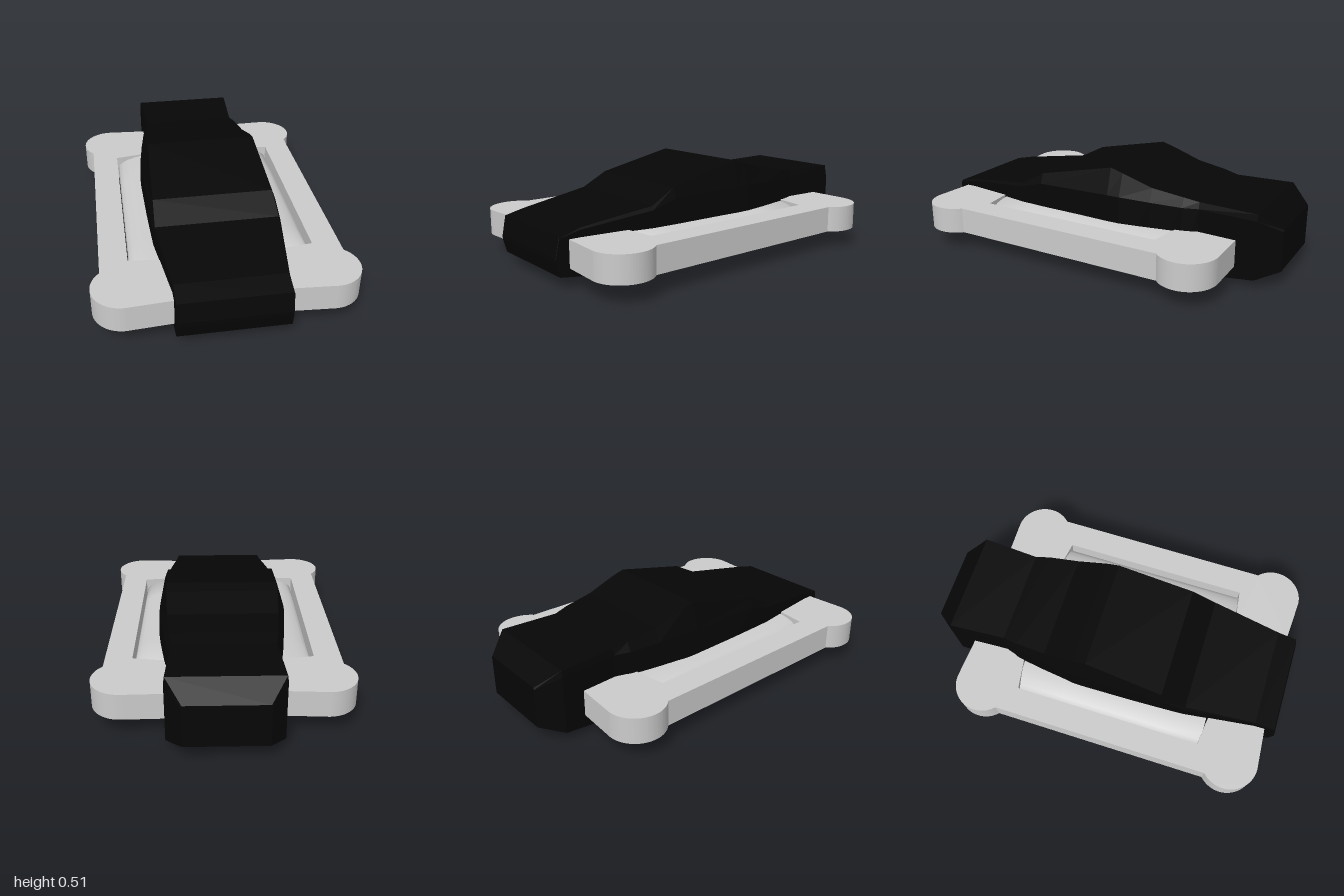
import * as THREE from 'three';

// Closed loft through equal-length rings of [x, y, z] points
function loft(rings) {
  const n = rings[0].length, pos = rings.flat(2), idx = [];
  for (let i = 0; i < rings.length - 1; i++) {
    for (let j = 0; j < n; j++) {
      const a = i * n + j, b = i * n + (j + 1) % n;
      idx.push(a, b, a + n, b, b + n, a + n);
    }
  }
  const last = (rings.length - 1) * n;
  for (let j = 1; j < n - 1; j++) {
    idx.push(0, j + 1, j, last, last + j, last + j + 1);
  }
  const g = new THREE.BufferGeometry();
  g.setAttribute('position', new THREE.Float32BufferAttribute(pos, 3));
  g.setIndex(idx);
  g.computeVertexNormals();
  return g;
}

// Faceted hull: z, bottom y, shoulder y, top y, then half widths at each height
function hullGeometry() {
  const stations = [
    [-1.0, 0.09, 0.30, 0.31, 0.205, 0.205, 0.20],
    [-0.89, 0.05, 0.36, 0.395, 0.285, 0.285, 0.28],
    [-0.58, 0.005, 0.36, 0.395, 0.27, 0.27, 0.26],
    [-0.5, 0.004, 0.36, 0.41, 0.305, 0.295, 0.275],
    [-0.33, 0.003, 0.365, 0.435, 0.33, 0.32, 0.29],
    [-0.16, 0.002, 0.37, 0.49, 0.355, 0.34, 0.30],
    [-0.09, 0.002, 0.37, 0.51, 0.354, 0.342, 0.30],
    [0.34, 0, 0.36, 0.415, 0.34, 0.335, 0.315],
    [0.48, 0, 0.32, 0.34, 0.333, 0.33, 0.32],
    [0.87, 0.05, 0.275, 0.285, 0.28, 0.28, 0.275],
    [0.98, 0.065, 0.25, 0.26, 0.278, 0.278, 0.275],
    [1.0, 0.14, 0.155, 0.16, 0.276, 0.276, 0.275],
  ];
  return loft(stations.map(([z, b, s, t, wb, ws, wt]) => [
    [-wb, b, z], [wb, b, z], [ws, s, z], [wt, t, z], [-wt, t, z], [-ws, s, z],
  ]));
}

// Plate outline with a rounded ear at each corner (shape y becomes z)
function plateGeometry() {
  const s = new THREE.Shape();
  const r = 0.155, cx = 0.505, front = 0.79, back = -0.635;
  const a = Math.acos((0.612 - cx) / r);
  s.moveTo(0.28, -0.775);
  s.absarc(cx - 0.02, back, r, -Math.PI / 2, -Math.PI / 2 + 0.01, false);
  s.absarc(cx, back, r, -Math.PI / 2, a, false);
  s.absarc(cx, front, r, -a, Math.PI / 2, false);
  s.lineTo(0.28, 0.93);
  s.lineTo(-0.28, 0.93);
  s.absarc(-cx, front, r, Math.PI / 2, Math.PI + a, false);
  s.absarc(-cx, back, r, Math.PI - a, Math.PI * 1.5, false);
  s.lineTo(-0.28, -0.775);
  // Long slots beside the hull
  for (const k of [1, -1]) {
    const hole = new THREE.Path();
    hole.moveTo(k * 0.22, -0.48);
    hole.lineTo(k * 0.47, -0.44);
    hole.lineTo(k * 0.47, 0.6);
    hole.lineTo(k * 0.22, 0.63);
    hole.closePath();
    s.holes.push(hole);
  }
  const g = new THREE.ExtrudeGeometry(s, { depth: 0.14, bevelEnabled: false, curveSegments: 14 });
  g.rotateX(Math.PI / 2);
  g.translate(0, 0.24, 0);
  return g;
}

// Smooth rounded filler lying in a slot
function fairingGeometry(side) {
  const rings = [];
  for (const z of [-0.46, -0.2, 0.1, 0.4, 0.61]) {
    const ring = [];
    for (let i = 0; i <= 12; i++) {
      const t = -Math.PI / 2 + Math.PI * i / 12;
      ring.push([side * (0.25 + 0.215 * Math.cos(t)), 0.17 + 0.065 * Math.sin(t), z]);
    }
    rings.push(side > 0 ? ring : ring.reverse());
  }
  return loft(rings);
}

export function createModel() {
  const group = new THREE.Group();
  const black = new THREE.MeshStandardMaterial({ color: 0x060606, flatShading: true });
  const grey = new THREE.MeshStandardMaterial({ color: 0xcccccc });
  const add = (name, geometry, material) => {
    const mesh = new THREE.Mesh(geometry, material);
    mesh.name = name;
    group.add(mesh);
  };

  add('hull', hullGeometry(), black);
  add('sidePlate', plateGeometry(), grey);
  add('leftFairing', fairingGeometry(1), grey);
  add('rightFairing', fairingGeometry(-1), grey);
  return group;
}
